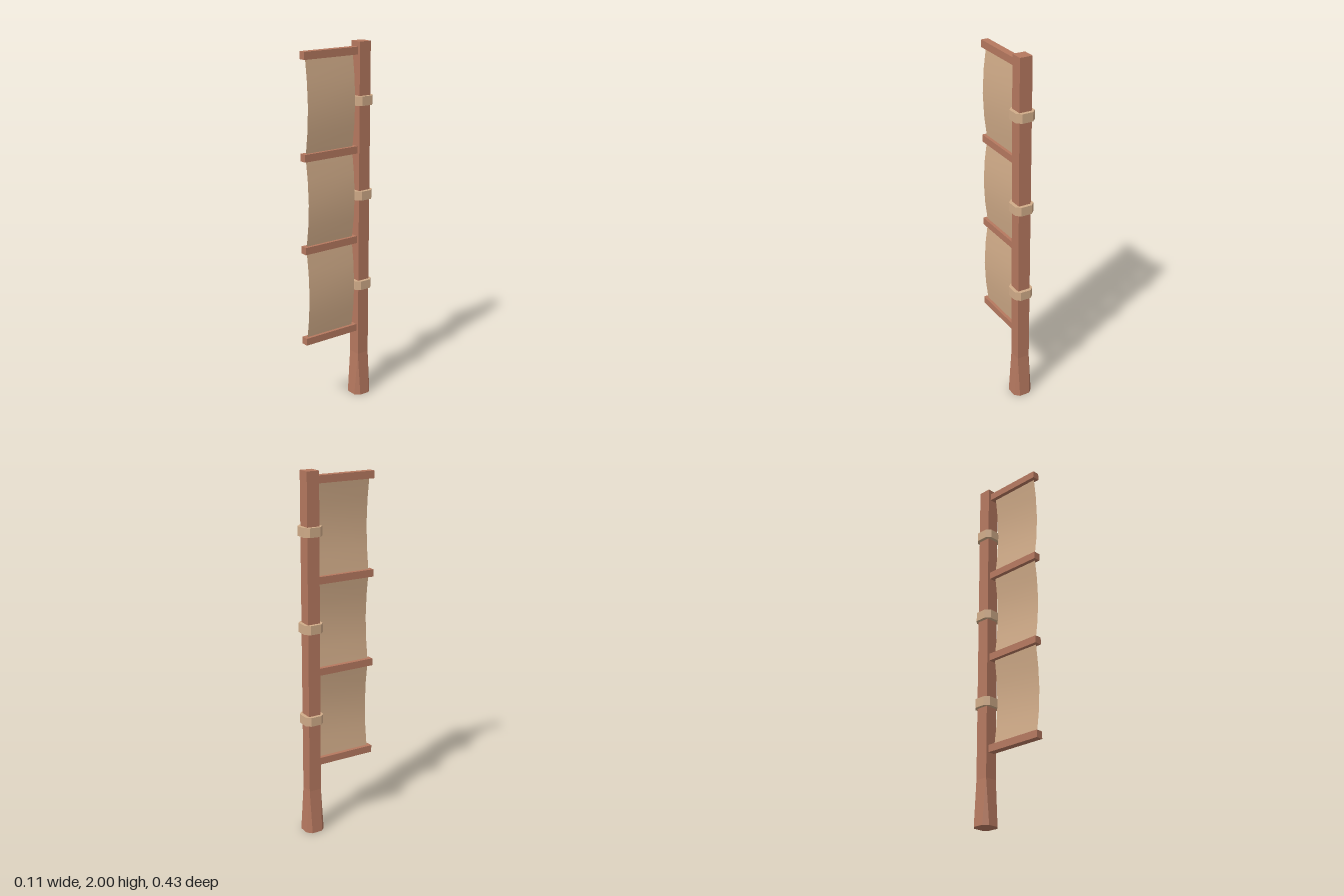
import * as THREE from 'three';

const POLE_Z = -0.161;

// Chamfered-square outline: half width a, half flat length c
const octagon = (a, c) => [[c, a], [a, c], [a, -c], [c, -a], [-c, -a], [-a, -c], [-a, c], [-c, a]];

// Flat-shaded solid lofted between two 8-point rings [x, z]
function loft(bottom, y0, top, y1) {
  const p = [];
  const tri = (...v) => v.forEach((q) => p.push(...q));
  const lo = bottom.map(([x, z]) => [x, y0, z]);
  const hi = top.map(([x, z]) => [x, y1, z]);
  for (let i = 0; i < 8; i++) {
    const j = (i + 1) % 8;
    tri(lo[i], lo[j], hi[j]);
    tri(lo[i], hi[j], hi[i]);
    tri([0, y0, 0], lo[j], lo[i]);
    tri([0, y1, 0], hi[i], hi[j]);
  }
  const g = new THREE.BufferGeometry();
  g.setAttribute('position', new THREE.Float32BufferAttribute(p, 3));
  g.computeVertexNormals();
  return g;
}

export function createModel() {
  const group = new THREE.Group();
  group.name = 'bannerPost';
  const wood = new THREE.MeshStandardMaterial({ color: 0xb5785f });
  wood.name = 'wood';
  const cloth = new THREE.MeshStandardMaterial({ color: 0xd0ab88, side: THREE.DoubleSide });
  cloth.name = 'cloth';

  const add = (name, geometry, material, x, y, z) => {
    const mesh = new THREE.Mesh(geometry, material);
    mesh.name = name;
    mesh.position.set(x, y, z);
    group.add(mesh);
  };

  // Square post on a flared eight-sided foot
  add('post', new THREE.BoxGeometry(0.071, 1.75, 0.071), wood, 0, 1.125, POLE_Z);
  add('flaredFoot', loft(octagon(0.055, 0.03), 0, octagon(0.0355, 0.0355), 0.25), wood, 0, 0, POLE_Z);

  // Bindings wrapped around the post
  const ring = octagon(0.055, 0.031);
  for (const y of [0.667, 1.181, 1.694]) {
    add('binding', loft(ring, -0.025, ring, 0.025), cloth, 0, y, POLE_Z);
  }

  // Crossbars reaching forward from the post
  const bars = [0.408, 0.928, 1.43, 1.953];
  for (const y of bars) {
    add('crossbar', new THREE.BoxGeometry(0.04, 0.04, 0.342), wood, 0, y, 0.044);
  }

  // Cloth panels, each bulging sideways between two bars
  for (let i = 0; i < 3; i++) {
    const h = bars[i + 1] - bars[i];
    const panel = new THREE.PlaneGeometry(0.302, h, 1, 4).rotateY(Math.PI / 2);
    const pos = panel.attributes.position;
    for (let k = 0; k < pos.count; k++) {
      pos.setX(k, 0.024 * Math.cos((pos.getY(k) / h) * Math.PI));
    }
    panel.computeVertexNormals();
    add('clothPanel', panel, cloth, 0, bars[i] + h / 2, 0.046);
  }
  return group;
}
